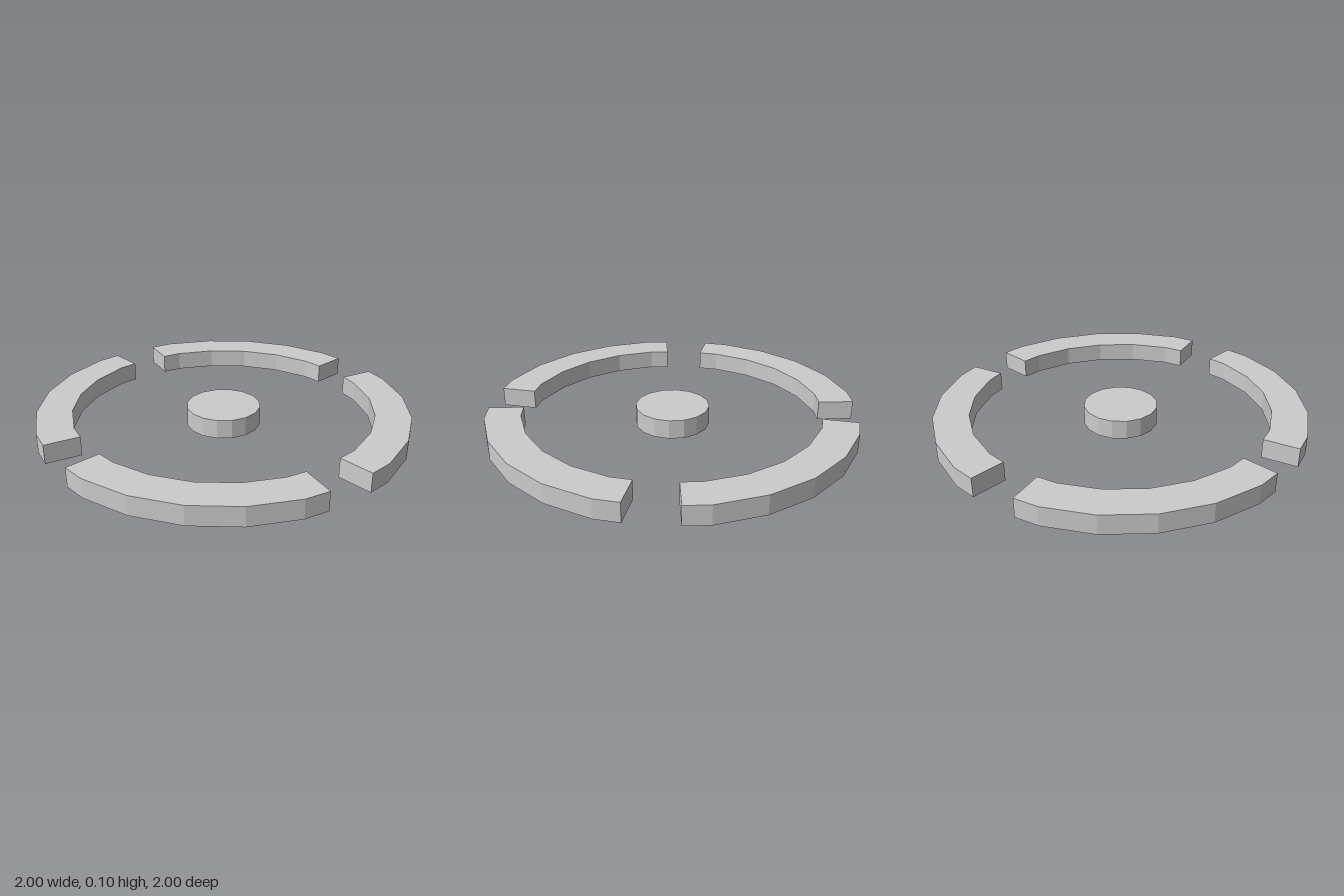
import * as THREE from 'three';

const HEIGHT = 0.104;
const OUTER = 1, INNER = 0.81, HUB = 0.2;

// Point on a faceted circle; the end cuts fall midway along a facet
function facetPoint(radius, degrees) {
  const r = Math.abs(degrees) === 37.5 ? radius * Math.cos(Math.PI / 24) : radius;
  const a = THREE.MathUtils.degToRad(degrees);
  return new THREE.Vector2(r * Math.sin(a), r * Math.cos(a));
}

export function createModel() {
  const model = new THREE.Group();
  const material = new THREE.MeshStandardMaterial({ color: 0xcccccc, flatShading: true });

  // One quarter of the broken ring, extruded upward
  const angles = [-37.5, -30, -15, 0, 15, 30, 37.5];
  const outline = [
    ...angles.map((a) => facetPoint(OUTER, a)),
    ...[...angles].reverse().map((a) => facetPoint(INNER, a)),
  ];
  const arc = new THREE.ExtrudeGeometry(new THREE.Shape(outline), { depth: HEIGHT, bevelEnabled: false });
  arc.rotateX(-Math.PI / 2);

  // Four arcs around the centre
  ['backArc', 'leftArc', 'frontArc', 'rightArc'].forEach((name, i) => {
    const mesh = new THREE.Mesh(arc, material);
    mesh.name = name;
    mesh.rotation.y = -i * Math.PI / 2;
    model.add(mesh);
  });

  // Central disc
  const disc = new THREE.Mesh(new THREE.CylinderGeometry(HUB, HUB, HEIGHT, 16), material);
  disc.name = 'centreDisc';
  disc.position.y = HEIGHT / 2;
  model.add(disc);

  return model;
}
